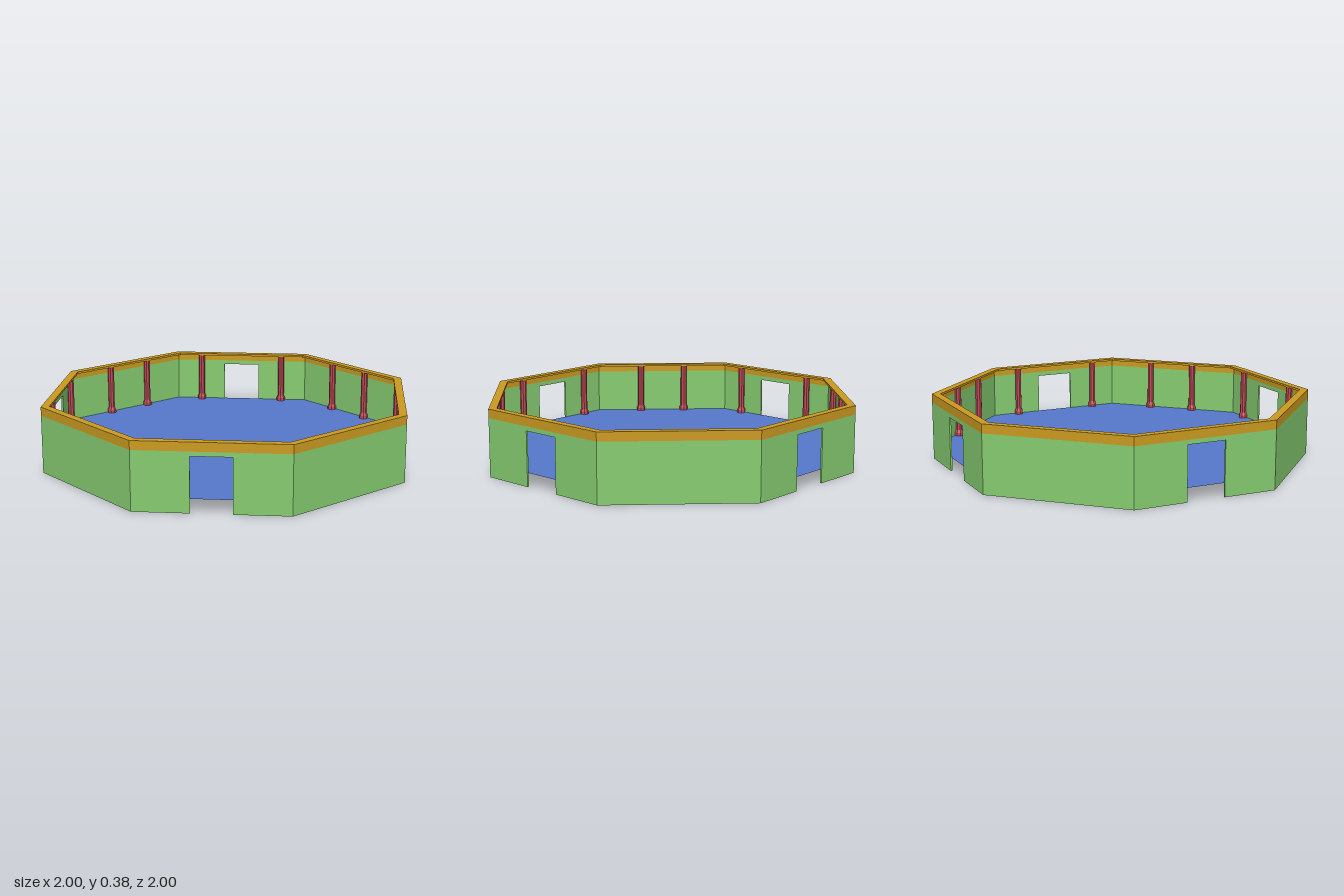
import * as THREE from 'three';

const HEIGHT = 0.38, BAND_Y = 0.33, PLATE_Y = 0.368, FLOOR_Y = 0.077;
const THICK = 0.01, RIM = 0.045;
const TAN = Math.tan(Math.PI / 8); // half side length of an octagon with apothem 1

const green = new THREE.MeshStandardMaterial({ color: 0x86cc70 });
const gold = new THREE.MeshStandardMaterial({ color: 0xcb9a20 });
const blue = new THREE.MeshStandardMaterial({ color: 0x5678cc, side: THREE.DoubleSide });
const red = new THREE.MeshStandardMaterial({ color: 0xc04858, flatShading: true });

function named(name, geometry, material) {
  const mesh = new THREE.Mesh(geometry, material);
  mesh.name = name;
  return mesh;
}

// corner points of an octagon with flat sides on the axes
function octagon(apothem) {
  const r = apothem / Math.cos(Math.PI / 8);
  return Array.from({ length: 8 }, (_, i) => {
    const a = (i + 0.5) * Math.PI / 4;
    return new THREE.Vector2(r * Math.cos(a), r * Math.sin(a));
  });
}

// flat-lying octagonal ring between two heights
function ring(inner, y0, y1) {
  const shape = new THREE.Shape(octagon(1));
  shape.holes.push(new THREE.Path(octagon(inner)));
  return new THREE.ExtrudeGeometry(shape, { depth: y1 - y0, bevelEnabled: false })
    .rotateX(-Math.PI / 2).translate(0, y0, 0);
}

// one wall panel facing +z, with mitred ends and an optional doorway
function panel(hasDoor) {
  const w = TAN, d = 0.11, top = 0.305;
  const pts = [[-w, 0]];
  if (hasDoor) pts.push([-d, 0], [-d, top], [d, top], [d, 0]);
  pts.push([w, 0], [w, BAND_Y], [-w, BAND_Y]);
  const shape = new THREE.Shape(pts.map(([x, y]) => new THREE.Vector2(x, y)));
  const geo = new THREE.ExtrudeGeometry(shape, { depth: THICK, bevelEnabled: false })
    .translate(0, 0, 1 - THICK);
  const p = geo.attributes.position;
  for (let i = 0; i < p.count; i++) {
    if (Math.abs(p.getX(i)) > 0.3) p.setX(i, Math.sign(p.getX(i)) * TAN * p.getZ(i));
  }
  geo.computeVertexNormals();
  return geo;
}

export function createModel() {
  const model = new THREE.Group();
  model.name = 'octagonalHall';

  // floor sheet, raised a little above the foot of the walls
  const floor = new THREE.ShapeGeometry(new THREE.Shape(octagon(1 - THICK / 2)))
    .rotateX(-Math.PI / 2).translate(0, FLOOR_Y, 0);
  model.add(named('floor', floor, blue));

  // rim: thin band continuing the wall, capped by a wider plate
  model.add(named('rimBand', ring(1 - THICK, BAND_Y, PLATE_Y), gold));
  model.add(named('rimPlate', ring(1 - RIM, PLATE_Y, HEIGHT), gold));

  // pillar with a wider foot
  const profile = [[0, 0], [0.027, 0], [0.027, 0.095], [0.019, 0.112], [0.019, PLATE_Y]];
  const pillar = new THREE.LatheGeometry(profile.map(([x, y]) => new THREE.Vector2(x, y)), 8);

  // eight sides: doorways on the axes, plain walls on the diagonals
  for (let i = 0; i < 8; i++) {
    const hasDoor = i % 2 === 0;
    const side = new THREE.Group();
    side.name = hasDoor ? 'doorSide' : 'plainSide';
    side.rotation.y = i * Math.PI / 4;
    side.add(named('wall', panel(hasDoor), green));
    for (const s of [-1, 1]) {
      const post = named('pillar', pillar, red);
      post.position.set(s * (hasDoor ? 0.257 : 0.139), 0, 0.972);
      side.add(post);
    }
    model.add(side);
  }
  return model;
}
